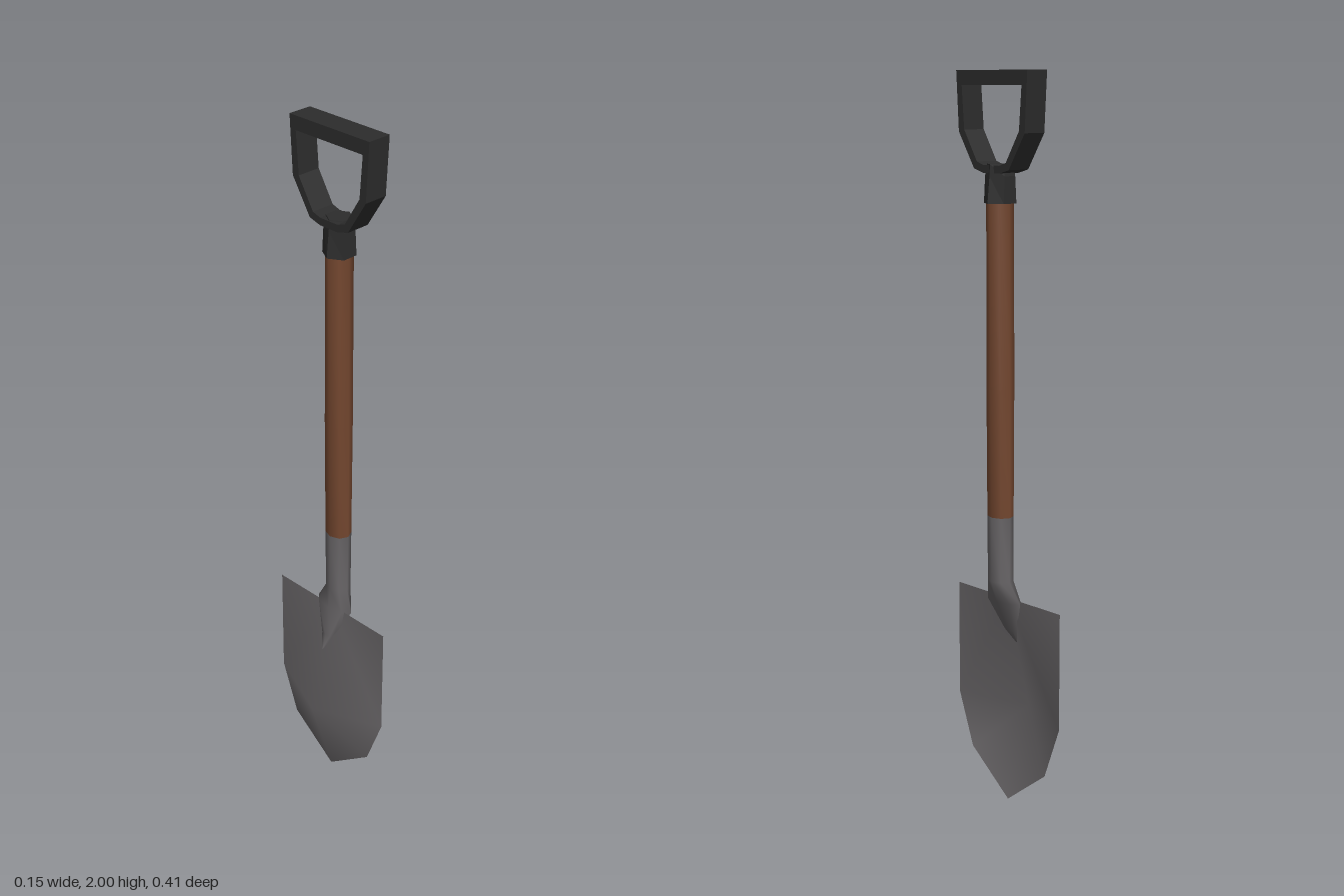
import * as THREE from 'three';

const mat = (name, color, side = THREE.FrontSide) => {
  const m = new THREE.MeshStandardMaterial({ color, side });
  m.name = name;
  return m;
};

// Upright loft through rings given as [y, centre x, radius x, radius z], top to bottom
function loft(rings, sides, flat) {
  const pos = [], idx = [];
  for (const [y, cx, rx, rz] of rings) {
    for (let i = 0; i < sides; i++) {
      const a = (i / sides) * Math.PI * 2;
      pos.push(cx + Math.cos(a) * rx, y, Math.sin(a) * rz);
    }
  }
  for (let r = 0; r < rings.length - 1; r++) {
    for (let i = 0; i < sides; i++) {
      const a = r * sides + i, b = r * sides + (i + 1) % sides;
      idx.push(a, b, a + sides, b, b + sides, a + sides);
    }
  }
  // End caps use their own corners so the rims stay sharp
  for (const [ring, up] of [[0, true], [rings.length - 1, false]]) {
    const base = pos.length / 3;
    for (let i = 0; i < sides * 3; i++) pos.push(pos[ring * sides * 3 + i]);
    for (let i = 1; i < sides - 1; i++) {
      idx.push(base, base + (up ? i + 1 : i), base + (up ? i : i + 1));
    }
  }
  let g = new THREE.BufferGeometry();
  g.setAttribute('position', new THREE.Float32BufferAttribute(pos, 3));
  g.setIndex(idx);
  if (flat) g = g.toNonIndexed();
  g.computeVertexNormals();
  return g;
}

// Dished blade: a flat rim around one deep point on the centre line
function bladeGeometry() {
  const rim = 0.004;
  const pts = [
    [-0.076, 0.26, 0],
    [rim, 0, 0],
    [rim, 0.115, -0.148], [rim, 0.265, -0.203],
    [rim, 0.592, 0],
    [rim, 0.265, 0.203], [rim, 0.115, 0.148],
    [rim, 0.592, -0.203], [rim, 0.592, 0.203],
  ];
  const idx = [3, 7, 4, 5, 4, 8];
  for (let i = 0; i < 6; i++) idx.push(0, 1 + i, 1 + (i + 1) % 6);
  const g = new THREE.BufferGeometry();
  g.setAttribute('position', new THREE.Float32BufferAttribute(pts.flat(), 3));
  g.setIndex(idx);
  g.computeVertexNormals();
  return g;
}

// D-shaped grip: mirrored outline with a hole, extruded along x
function gripGeometry() {
  const mirrored = (half) => [...half, ...half.map(([z, y]) => [-z, y]).reverse()]
    .map(([z, y]) => new THREE.Vector2(z, y));
  const shape = new THREE.Shape(mirrored([[0.03, 1.742], [0.066, 1.752], [0.125, 1.845], [0.134, 2]]));
  shape.holes.push(new THREE.Path(mirrored([[0.03, 1.762], [0.055, 1.77], [0.104, 1.85], [0.113, 1.963]])));
  const depth = 0.068;
  const g = new THREE.ExtrudeGeometry(shape, { depth, bevelEnabled: false });
  g.translate(0, 0, -depth / 2);
  g.rotateY(Math.PI / 2);
  g.translate(0.028, 0, 0);
  return g;
}

export function createModel() {
  const steel = mat('steel', 0x676466, THREE.DoubleSide);
  const wood = mat('wood', 0x74472f);
  const plastic = mat('black plastic', 0x2c2c2c);
  const group = new THREE.Group();
  group.name = 'shovel';
  const add = (name, geometry, material) => {
    const mesh = new THREE.Mesh(geometry, material);
    mesh.name = name;
    group.add(mesh);
  };

  add('blade', bladeGeometry(), steel);

  // Neck bends back, flares and pinches into the blade
  add('socket', loft([
    [0.83, 0.031, 0.033, 0.038],
    [0.65, 0.031, 0.033, 0.036],
    [0.59, 0.018, 0.027, 0.064],
    [0.5, -0.008, 0.013, 0.022],
    [0.455, -0.031, 0.002, 0.002],
  ], 8), steel);

  add('shaft', loft([
    [1.68, 0.031, 0.037, 0.035],
    [1.18, 0.031, 0.036, 0.038],
    [0.83, 0.031, 0.033, 0.038],
  ], 8), wood);

  add('collar', loft([
    [1.765, 0.031, 0.035, 0.035],
    [1.735, 0.031, 0.037, 0.043],
    [1.665, 0.031, 0.044, 0.044],
  ], 6, true), plastic);

  add('grip', gripGeometry(), plastic);
  return group;
}
